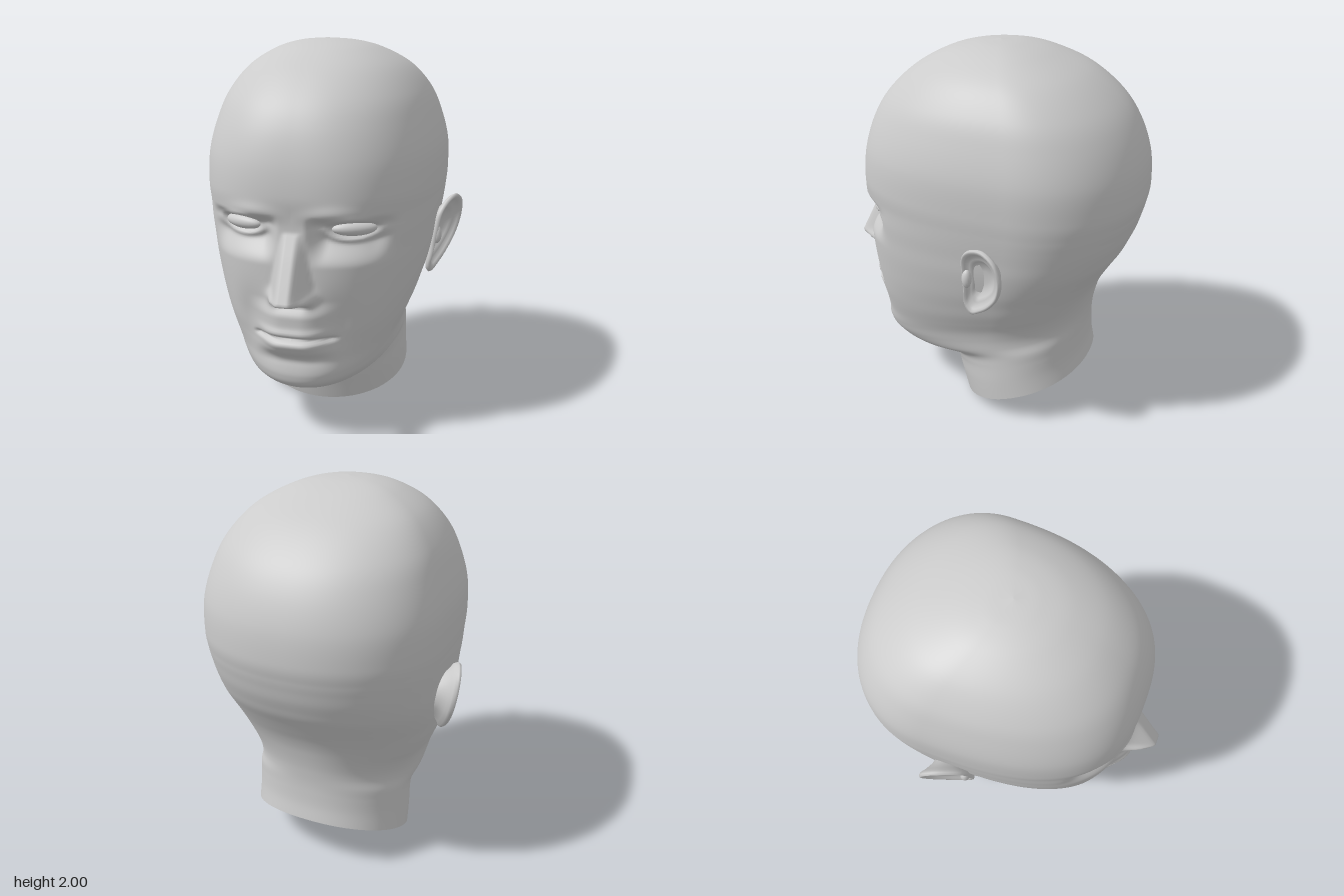
import * as THREE from 'three';

const clamp = (v) => Math.min(1, Math.max(0, v));
const step = (a, b, v) => { const t = clamp((v - a) / (b - a)); return t * t * (3 - 2 * t); };
const bell = (v, c, s) => Math.exp(-(((v - c) / s) ** 2));
const grey = (side = THREE.FrontSide) => new THREE.MeshStandardMaterial({ color: 0xcccccc, roughness: 0.8, side });

// Skin over rows of closed loops; point(i, j) returns [x, y, z]
function skin(rows, cols, point, flip = false) {
  const pos = [], idx = [];
  for (let i = 0; i <= rows; i++) for (let j = 0; j < cols; j++) pos.push(...point(i, j));
  for (let i = 0; i < rows; i++) for (let j = 0; j < cols; j++) {
    const a = i * cols + j, b = i * cols + ((j + 1) % cols), c = b + cols, d = a + cols;
    if (flip) idx.push(a, c, b, a, d, c);
    else idx.push(a, b, c, a, c, d);
  }
  const g = new THREE.BufferGeometry();
  g.setAttribute('position', new THREE.Float32BufferAttribute(pos, 3));
  g.setIndex(idx);
  g.computeVertexNormals();
  return g;
}

// Tilted loops from neck to crown: front y, front z, back y, back z, half width, squareness
const LOOPS = [
  [0.0, 0.13, 0.27, -0.575, 0.43, 2],
  [0.12, 0.165, 0.35, -0.56, 0.428, 2],
  [0.22, 0.2, 0.43, -0.555, 0.425, 2],
  [0.264, 0.27, 0.49, -0.555, 0.425, 2],
  [0.252, 0.5, 0.55, -0.56, 0.43, 2],
  [0.3, 0.61, 0.6, -0.567, 0.437, 2.1],
  [0.36, 0.64, 0.66, -0.58, 0.452, 2.2],
  [0.44, 0.635, 0.72, -0.597, 0.48, 2.3],
  [0.52, 0.645, 0.78, -0.622, 0.508, 2.35],
  [0.6, 0.658, 0.84, -0.655, 0.53, 2.4],
  [0.7, 0.662, 0.9, -0.69, 0.555, 2.45],
  [0.8, 0.665, 0.965, -0.73, 0.575, 2.5],
  [0.9, 0.667, 1.02, -0.755, 0.59, 2.55],
  [1.0, 0.668, 1.08, -0.78, 0.6, 2.6],
  [1.09, 0.666, 1.14, -0.797, 0.61, 2.65],
  [1.18, 0.666, 1.2, -0.812, 0.618, 2.65],
  [1.29, 0.68, 1.29, -0.825, 0.625, 2.65],
  [1.45, 0.665, 1.45, -0.81, 0.62, 2.6],
  [1.61, 0.617, 1.61, -0.75, 0.58, 2.5],
  [1.74, 0.537, 1.74, -0.655, 0.525, 2.4],
  [1.862, 0.404, 1.862, -0.5, 0.425, 2.3],
  [1.947, 0.245, 1.947, -0.31, 0.285, 2.2],
  [1.987, 0.1, 1.987, -0.16, 0.15, 2.1],
  [2.0, -0.03, 2.0, -0.03, 0, 2],
];
const spline = (pts) => new THREE.CatmullRomCurve3(pts, false, 'catmullrom', 0.5);
const frontCurve = spline(LOOPS.map((l) => new THREE.Vector3(l[0], l[1], l[4])));
const backCurve = spline(LOOPS.map((l) => new THREE.Vector3(l[2], l[3], l[5])));

// Relief of the face: how far the skin moves forward at (x, y)
function relief(x, y) {
  const a = Math.abs(x);
  let d = 0;
  // nose ridge and wings
  const noseBase = 0.06 + 0.065 * clamp((1.1 - y) / 0.3);
  d += 0.165 * clamp((1.12 - y) / 0.31) * step(0.75, 0.805, y) * (1 - step(0.025, noseBase, a));
  d += 0.042 * bell(a, 0.092, 0.032) * bell(y, 0.79, 0.035);
  // brow, eye sockets and lids
  d += 0.016 * bell(a, 0.2, 0.13) * bell(y, 1.215 - 0.6 * (a - 0.22) ** 2, 0.035);
  d -= 0.08 * step(0.06, 0.16, a) * (1 - step(0.36, 0.5, a)) * step(0.95, 1.1, y) * (1 - step(1.14, 1.205, y));
  d += 0.022 * bell(Math.hypot((a - 0.28) / 0.125, (y - 1.13) / 0.052), 1, 0.28);
  // mouth mound and the hollows beside it
  d += 0.045 * (1 - step(0.05, 0.26, a)) * step(0.43, 0.52, y) * (1 - step(0.7, 0.78, y));
  d -= 0.026 * bell(a, 0.22, 0.09) * bell(y, 0.64, 0.15);
  // lips and chin crease
  d += 0.014 * bell(y, 0.618, 0.02) * (1 - step(0.1, 0.22, a));
  d -= 0.03 * bell(y, 0.585 - 0.25 * a * a, 0.012) * (1 - step(0.17, 0.23, a));
  d += 0.016 * bell(y, 0.55, 0.026) * (1 - step(0.07, 0.2, a));
  d -= 0.012 * bell(y, 0.47, 0.035) * (1 - step(0.1, 0.22, a));
  return d;
}

const ROWS = (LOOPS.length - 1) * 10, COLS = 180;
function headPoint(i, j) {
  const t = i / ROWS, u = (2 * j) / COLS - 1;
  const f = frontCurve.getPoint(t), b = backCurve.getPoint(t);
  const phi = Math.PI * Math.sign(u) * Math.abs(u) ** 1.4; // finer columns on the face
  const s = Math.sin(phi), c = Math.cos(phi), n = c > 0 ? b.z : 2.2;
  const r = (Math.abs(s) ** n + Math.abs(c) ** n) ** (-1 / n);
  const zc = b.y + (f.y - b.y) * (0.5 - 0.14 * step(0, 0.3, t));
  const x = f.z * r * s;
  const z = zc + r * c * (c > 0 ? f.y - zc : zc - b.y);
  const span = f.y - b.y;
  const y = span > 1e-4 ? b.x + ((f.x - b.x) * (z - b.y)) / span : f.x;
  return [x, y, z + relief(x, y) * step(0.1, 0.4, c)];
}

// Ear outline as (z, y), then loops from the hidden back over the rim into the bowl
const EAR = new THREE.CatmullRomCurve3([
  [-0.07, 1.08], [-0.12, 1.135], [-0.2, 1.16], [-0.27, 1.12], [-0.3, 1.03], [-0.28, 0.92],
  [-0.22, 0.83], [-0.15, 0.765], [-0.09, 0.73], [-0.058, 0.77], [-0.06, 0.88], [-0.06, 0.98],
].map(([z, y]) => new THREE.Vector3(0, y, z)), true);
const EAR_LOOPS = [
  [0.45, -0.1], [0.6, -0.06], [0.82, -0.028], [0.96, -0.014], [1, 0], [0.97, 0.012],
  [0.9, 0.012], [0.83, 0.002], [0.74, -0.014], [0.66, -0.012], [0.56, -0.024], [0.42, -0.042], [0.2, -0.046], [0, -0.046],
];
function makeEar(side) {
  const cols = 48, cy = 0.97, cz = -0.165;
  return skin(EAR_LOOPS.length - 1, cols, (i, j) => {
    const p = EAR.getPoint(j / cols), [k, out] = EAR_LOOPS[i];
    const y = cy + (p.y - cy) * k, z = cz + (p.z - cz) * k;
    const x = 0.6 + 0.17 * (y - 1) + 0.42 * (-0.06 - z) + out;
    return [side * x, y, z + out * 0.3];
  }, side > 0);
}

export function createModel() {
  const model = new THREE.Group();
  model.name = 'headBust';
  const add = (name, geometry, material = grey()) => {
    const m = new THREE.Mesh(geometry, material);
    m.name = name;
    model.add(m);
    return m;
  };

  add('headAndNeck', skin(ROWS, COLS, headPoint));

  // flat slanted cut closing the neck
  add('neckBase', skin(1, COLS, (i, j) => (i ? headPoint(0, j) : [0, 0.135, -0.2225])));

  for (const side of [1, -1]) {
    const label = side > 0 ? 'left' : 'right';
    add(label + 'Ear', makeEar(side), grey(THREE.DoubleSide));

    // small flap in front of the ear opening
    const flap = add(label + 'EarFlap', new THREE.SphereGeometry(1, 16, 12));
    flap.scale.set(0.025, 0.05, 0.025);
    flap.position.set(side * 0.605, 0.95, -0.085);

    // eyeball seen between the lids
    const eye = add(label + 'Eye', new THREE.SphereGeometry(1, 32, 20));
    eye.scale.set(0.112, 0.037, 0.045);
    eye.rotation.y = side * 0.42;
    eye.position.set(side * 0.28, 1.13, 0.537);
  }
  return model;
}
